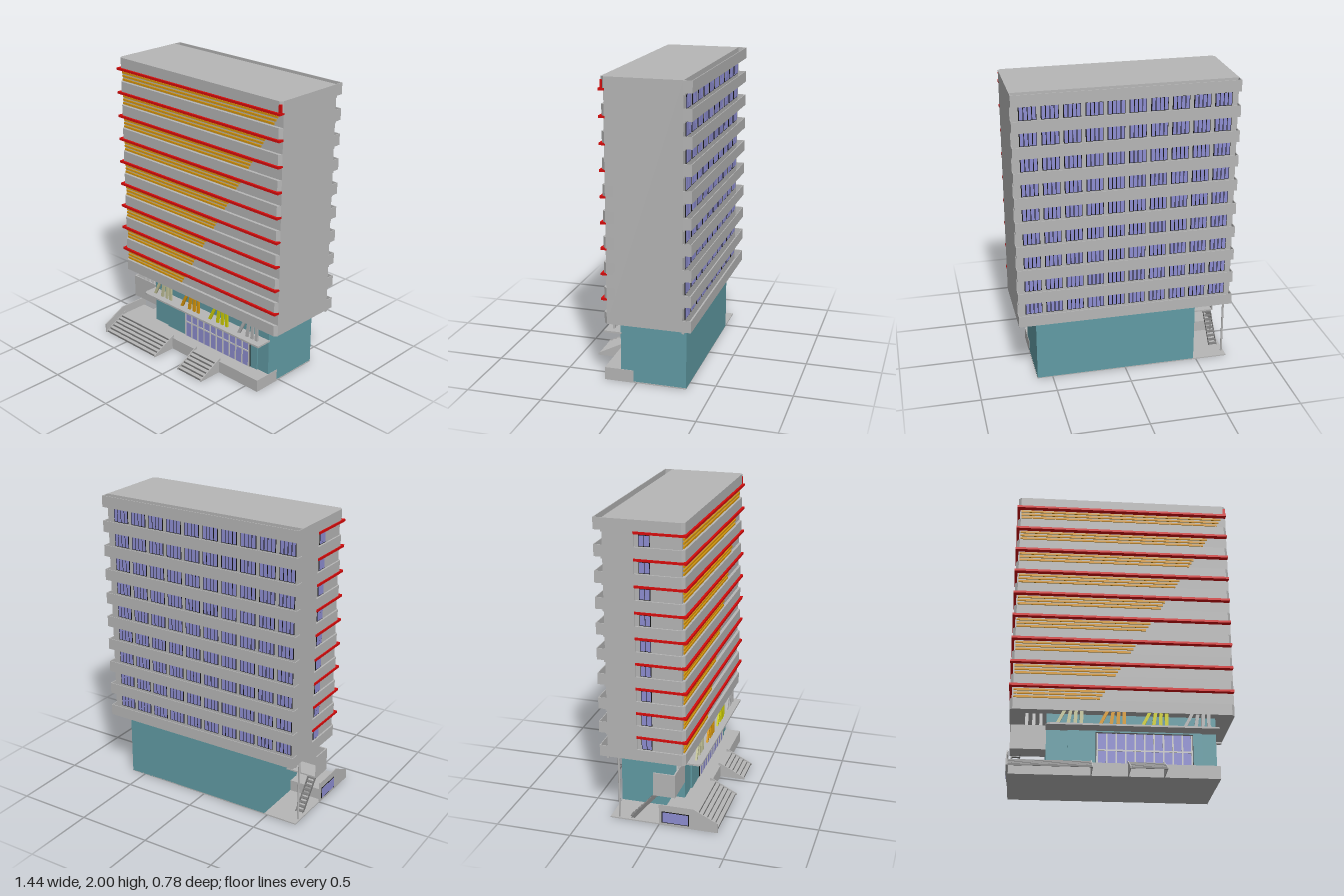
import * as THREE from 'three';

const mat = (name, color) => {
  const m = new THREE.MeshStandardMaterial({ color });
  m.name = name;
  return m;
};

export function createModel() {
  const root = new THREE.Group();
  root.name = 'officeBuilding';
  const concrete = mat('concrete', 0xb6b6b6), dark = mat('darkConcrete', 0x7d7d7d);
  const red = mat('red', 0xd80c0c), orange = mat('orange', 0xd9980c);
  const yellow = mat('yellow', 0xcfcf08), khaki = mat('khaki', 0xc4c49a);
  const teal = mat('teal', 0x619ba4), glass = mat('glass', 0x8e8ed2);
  const black = mat('black', 0x161616), pale = mat('paleGrey', 0xcbcbcb);

  const add = (parent, name, geo, m) => {
    const mesh = new THREE.Mesh(geo, m);
    mesh.name = name;
    parent.add(mesh);
    return mesh;
  };
  // box given by its limits on each axis
  const box = (parent, name, m, x0, x1, y0, y1, z0, z1) => {
    const mesh = add(parent, name, new THREE.BoxGeometry(x1 - x0, y1 - y0, z1 - z0), m);
    mesh.position.set((x0 + x1) / 2, (y0 + y1) / 2, (z0 + z1) / 2);
    return mesh;
  };
  // plan outline [x, z] raised from y0 to y1
  const plan = (parent, name, m, pts, y0, y1) => {
    const shape = new THREE.Shape(pts.map(([x, z]) => new THREE.Vector2(x, -z)));
    const geo = new THREE.ExtrudeGeometry(shape, { depth: y1 - y0, bevelEnabled: false });
    geo.rotateX(-Math.PI / 2).translate(0, y0, 0);
    return add(parent, name, geo, m);
  };
  // side outline [z, y] given a thickness in x
  const side = (parent, name, m, pts, x0, x1) => {
    const shape = new THREE.Shape(pts.map(([z, y]) => new THREE.Vector2(-z, y)));
    const geo = new THREE.ExtrudeGeometry(shape, { depth: x1 - x0, bevelEnabled: false });
    geo.rotateY(Math.PI / 2).translate(x0, 0, 0);
    return add(parent, name, geo, m);
  };
  const group = (name) => {
    const g = new THREE.Group();
    g.name = name;
    root.add(g);
    return g;
  };

  // Tower core, with a shallow recess along the front part of the -x side
  const tower = group('tower');
  box(tower, 'core', concrete, -0.705, 0.72, 0.44, 2, -0.335, 0.155);
  box(tower, 'sideWall', concrete, -0.716, -0.705, 0.44, 2, -0.335, -0.14);

  const pitch = 0.165, bandPlan = [
    [-0.716, -0.15], [-0.716, 0.155], [-0.698, 0.175], [0.702, 0.175], [0.72, 0.155], [0.72, 0.1],
    [-0.6, 0.1], [-0.6, -0.15],
  ];
  for (let i = 0; i < 10; i++) {
    const top = 0.515 + i * pitch, bottom = top - 0.075;
    // Parapets: a wrapped band in front, a free-standing panel at the back
    plan(tower, 'frontParapet', concrete, bandPlan, bottom, top);
    box(tower, 'backParapet', concrete, -0.716, 0.72, bottom, top, -0.39, -0.385);
    for (const x of [-0.716, 0.715])
      box(tower, 'parapetEnd', concrete, x, x + 0.005, bottom, top, -0.385, -0.335);
    box(tower, 'backLintel', concrete, -0.714, 0.718, bottom - 0.012, bottom + 0.005, -0.345, -0.33);
    if (i === 9) break;

    // Open storey above each parapet
    const next = top + pitch - 0.075;
    box(tower, 'redLedge', red, -0.724, 0.72, next - 0.01, next + 0.005, 0.15, 0.19);
    box(tower, 'redSideLedge', red, -0.724, -0.7, next - 0.01, next + 0.005, -0.14, 0.15);
    for (let k = 0; k < 3; k++) {
      const end = -0.145 + i * 0.1 + k * 0.015, y = top + 0.014 + k * 0.024;
      box(tower, 'louvre', orange, -0.695, end, y - 0.006, y + 0.007, 0.16, 0.168);
    }
    // Back windows in groups of four
    for (let g = 0; g < 10; g++) {
      const x = -0.675 + g * 0.137;
      box(tower, 'windowFrame', black, x, x + 0.11, top - 0.012, next - 0.014, -0.339, -0.334);
      for (let p = 0; p < 4; p++) {
        const px = x + 0.004 + p * 0.0265;
        box(tower, 'windowPane', glass, px, px + 0.021, top - 0.008, next - 0.018, -0.341, -0.338);
      }
    }
    // Pair of windows on the -x side
    box(tower, 'sideWindowFrame', black, -0.709, -0.704, top + 0.005, next - 0.014, -0.11, -0.04);
    for (const z of [-0.106, -0.073])
      box(tower, 'sideWindowPane', glass, -0.711, -0.708, top + 0.009, next - 0.018, z, z + 0.029);
  }
  box(tower, 'redCornerFin', red, 0.7, 0.718, 1.915, 1.98, 0.164, 0.178);

  // Ground floor hall
  const hall = group('groundFloor');
  box(hall, 'hallWalls', teal, -0.48, 0.602, 0.004, 0.44, -0.33, 0.105);
  box(hall, 'hallFrontWall', teal, -0.345, 0.51, 0.085, 0.335, 0.1, 0.115);
  box(hall, 'entranceFrame', black, -0.168, 0.452, 0.085, 0.32, 0.112, 0.118);
  box(hall, 'entranceGlass', glass, -0.16, 0.444, 0.085, 0.311, 0.115, 0.12);
  for (let i = 0; i <= 10; i++) {
    const x = -0.158 + i * 0.06;
    box(hall, 'mullion', pale, x - 0.005, x + 0.005, 0.085, 0.311, 0.117, 0.124);
  }
  box(hall, 'transom', pale, -0.16, 0.444, 0.195, 0.205, 0.117, 0.124);

  // Canopy with one softened corner
  plan(hall, 'canopy', concrete, [
    [-0.485, 0.1], [-0.485, 0.19], [-0.478, 0.207], [-0.46, 0.215], [0.608, 0.215], [0.608, 0.1],
  ], 0.33, 0.342);

  // Coloured struts: one leaning and three nearly upright per set
  const strut = (m, x, lean, w, z) => {
    const shape = new THREE.Shape([[x, 0.34], [x + w, 0.34], [x + w + lean, 0.44], [x + lean, 0.44]]
      .map((p) => new THREE.Vector2(...p)));
    const geo = new THREE.ExtrudeGeometry(shape, { depth: 0.012, bevelEnabled: false });
    geo.translate(0, 0, z);
    add(hall, 'strut', geo, m);
  };
  [[khaki, -0.43], [orange, -0.16], [yellow, 0.11], [concrete, 0.38]].forEach(([m, x]) => {
    [[0, 0.05], [0.073, 0.015], [0.118, 0.005], [0.158, 0]].forEach(([dx, lean]) =>
      strut(m, x + dx, lean, 0.022, 0.159));
  });
  for (const x of [-0.615, -0.57, -0.525]) strut(pale, x, 0, 0.02, 0.09);

  // Side balcony with post and steps
  const balcony = group('sideBalcony');
  box(balcony, 'balconyFront', concrete, -0.705, -0.48, 0.2, 0.36, 0.095, 0.105);
  box(balcony, 'balconySide', concrete, -0.705, -0.697, 0.2, 0.36, -0.04, 0.095);
  box(balcony, 'balconyFloor', concrete, -0.705, -0.48, 0.2, 0.21, -0.04, 0.1);
  const post = add(balcony, 'post', new THREE.CylinderGeometry(0.007, 0.007, 0.44, 10), concrete);
  post.position.set(-0.7, 0.22, -0.27);
  for (let i = 0; i < 9; i++) {
    const y = 0.018 + i * 0.021, z = -0.2 + i * 0.02;
    box(balcony, 'balconyStep', dark, -0.692, -0.642, y, y + 0.005, z, z + 0.024);
  }
  for (const x of [-0.694, -0.642])
    side(balcony, 'stringer', dark, [[-0.2, 0.005], [-0.175, 0.005], [-0.01, 0.2], [-0.035, 0.2]], x, x + 0.004);

  // Plinth, ground slab and front stairs
  const base = group('base');
  box(base, 'groundSlab', concrete, -0.715, 0.604, 0, 0.008, -0.33, 0.1);
  box(base, 'plinth', concrete, -0.713, 0.605, 0, 0.085, 0.02, 0.215);
  side(base, 'sideWall', concrete,
    [[0, 0], [0.39, 0], [0.39, 0.065], [0.23, 0.145], [0, 0.145]], -0.717, -0.709);
  box(base, 'basementWindowFrame', black, -0.72, -0.716, 0.02, 0.1, 0.02, 0.2);
  box(base, 'basementWindow', glass, -0.722, -0.719, 0.025, 0.095, 0.025, 0.195);

  const stairs = (x0, x1) => {
    const n = 6, run = 0.165 / n, rise = 0.085 / n;
    for (let i = 0; i < n; i++) {
      const y = 0.085 - (i + 1) * rise, z = 0.215 + i * run;
      box(base, 'tread', concrete, x0, x1, y + rise - 0.004, y + rise, z, z + run);
      box(base, 'riser', dark, x0, x1, y, y + rise - 0.002, z + run - 0.003, z + run + 0.001);
    }
    for (const x of [x0, x1])
      side(base, 'stairCheek', concrete,
        [[0.2, 0], [0.388, 0], [0.388, 0.012], [0.21, 0.103], [0.2, 0.103]], x - 0.003, x + 0.003);
  };
  stairs(-0.709, -0.2);
  stairs(0.03, 0.253);

  return root;
}
